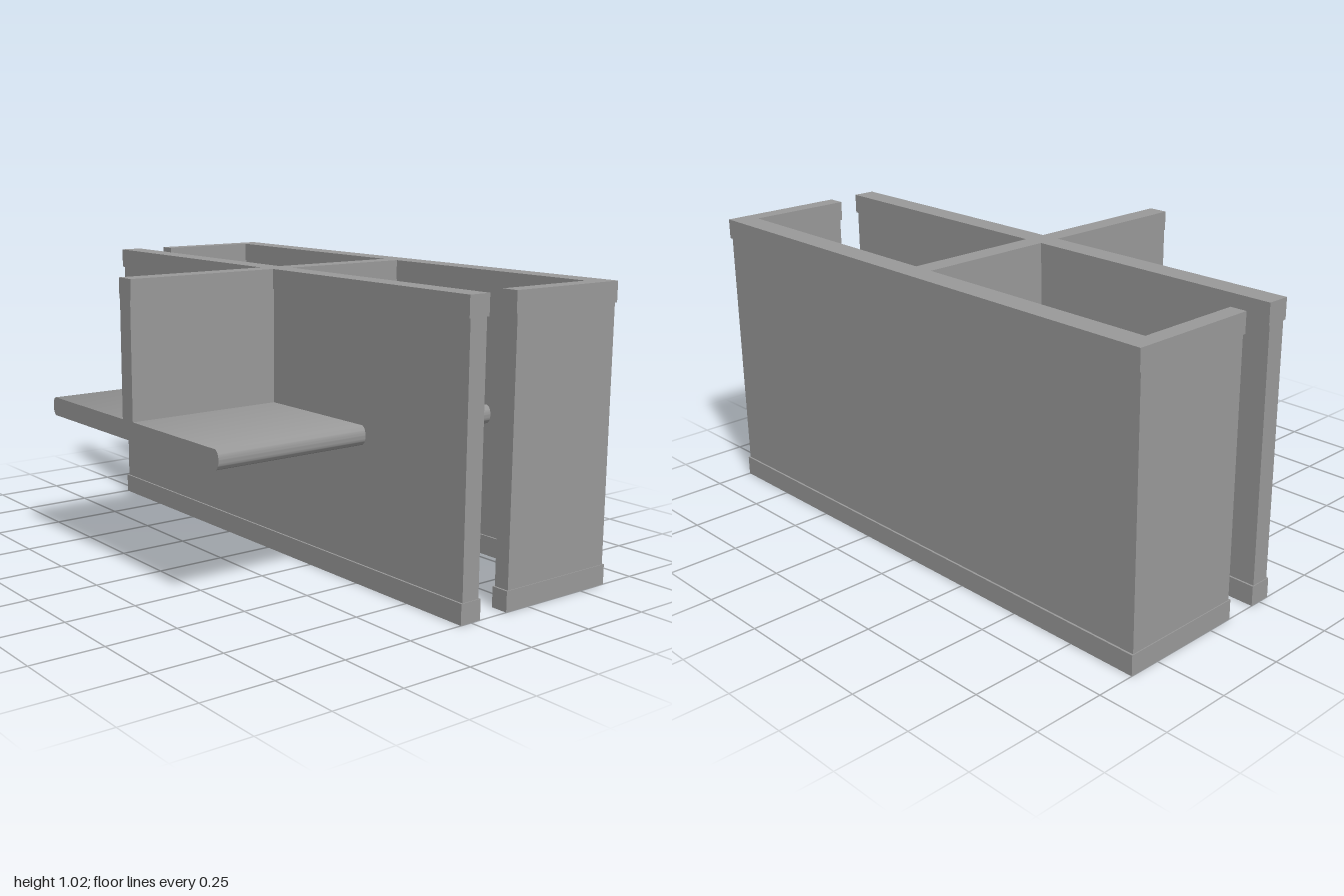
import * as THREE from 'three';
import { toCreasedNormals } from 'three/addons/utils/BufferGeometryUtils.js';

const H = 1.016, TRIM = 0.07, INSET = 0.007;

export function createModel() {
  const root = new THREE.Group();
  const grey = new THREE.MeshStandardMaterial({ color: 0x999999 });
  grey.name = 'partitionGrey';

  const add = (name, geometry, parent) => {
    const mesh = new THREE.Mesh(geometry, grey);
    mesh.name = name;
    parent.add(mesh);
    return mesh;
  };
  const slab = (name, [x0, x1], [y0, y1], [z0, z1], parent) =>
    add(name, new THREE.BoxGeometry(x1 - x0, y1 - y0, z1 - z0), parent)
      .position.set((x0 + x1) / 2, (y0 + y1) / 2, (z0 + z1) / 2);

  // Upright wall: a slightly recessed panel between a top rail and a floor rail.
  // inX and inZ give the recess at the low and high ends of each axis.
  const wall = (name, x, z, inX, inZ, bottom = 0) => {
    const g = new THREE.Group();
    g.name = name;
    const floorRail = bottom === 0;
    slab('panel', [x[0] + inX[0], x[1] - inX[1]],
      [floorRail ? TRIM : bottom, H - TRIM], [z[0] + inZ[0], z[1] - inZ[1]], g);
    slab('topRail', x, [H - TRIM, H], z, g);
    if (floorRail) slab('floorRail', x, [0, TRIM], z, g);
    root.add(g);
  };

  // Long walls
  wall('centreWall', [-0.043, 0.039], [-1, 1], [INSET, INSET], [0.003, 0.003]);
  wall('outerWall', [0.53, 0.614], [-1, 1], [INSET, INSET], [0.003, 0.003]);

  // Short return walls at both ends of the outer wall
  wall('frontReturnWall', [0.154, 0.53], [0.938, 1], [INSET, -INSET], [0.003, 0.003]);
  wall('backReturnWall', [0.154, 0.53], [-1, -0.942], [INSET, -INSET], [0.003, 0.003]);

  // Cross walls standing on the desktop, either side of the centre wall
  wall('leftCrossWall', [0.039, 0.53], [-0.039, 0.034], [-INSET, -INSET], [0.004, 0.004], 0.53);
  wall('rightCrossWall', [-0.615, -0.043], [-0.039, 0.034], [0, -INSET], [0.004, 0.004], 0.53);

  // Desktop with rounded long edges, extruded along x
  const y0 = 0.477, y1 = 0.543, half = 0.532, nose = 0.02;
  const mid = (y0 + y1) / 2, r = (y1 - y0) / 2;
  const profile = new THREE.Shape();
  profile.absellipse(half - nose, mid, nose, r, -Math.PI / 2, Math.PI / 2, false, 0);
  profile.absellipse(-half + nose, mid, nose, r, Math.PI / 2, Math.PI * 1.5, false, 0);
  profile.closePath();
  const desktop = (name, x0, x1) => {
    const geo = new THREE.ExtrudeGeometry(profile, { depth: x1 - x0, bevelEnabled: false, curveSegments: 12 });
    geo.rotateY(Math.PI / 2).translate(x0, 0, 0);
    add(name, toCreasedNormals(geo, 0.7), root);
  };
  desktop('rightDesktop', -0.615, -0.036);
  desktop('leftDesktop', 0.032, 0.537);

  return root;
}
